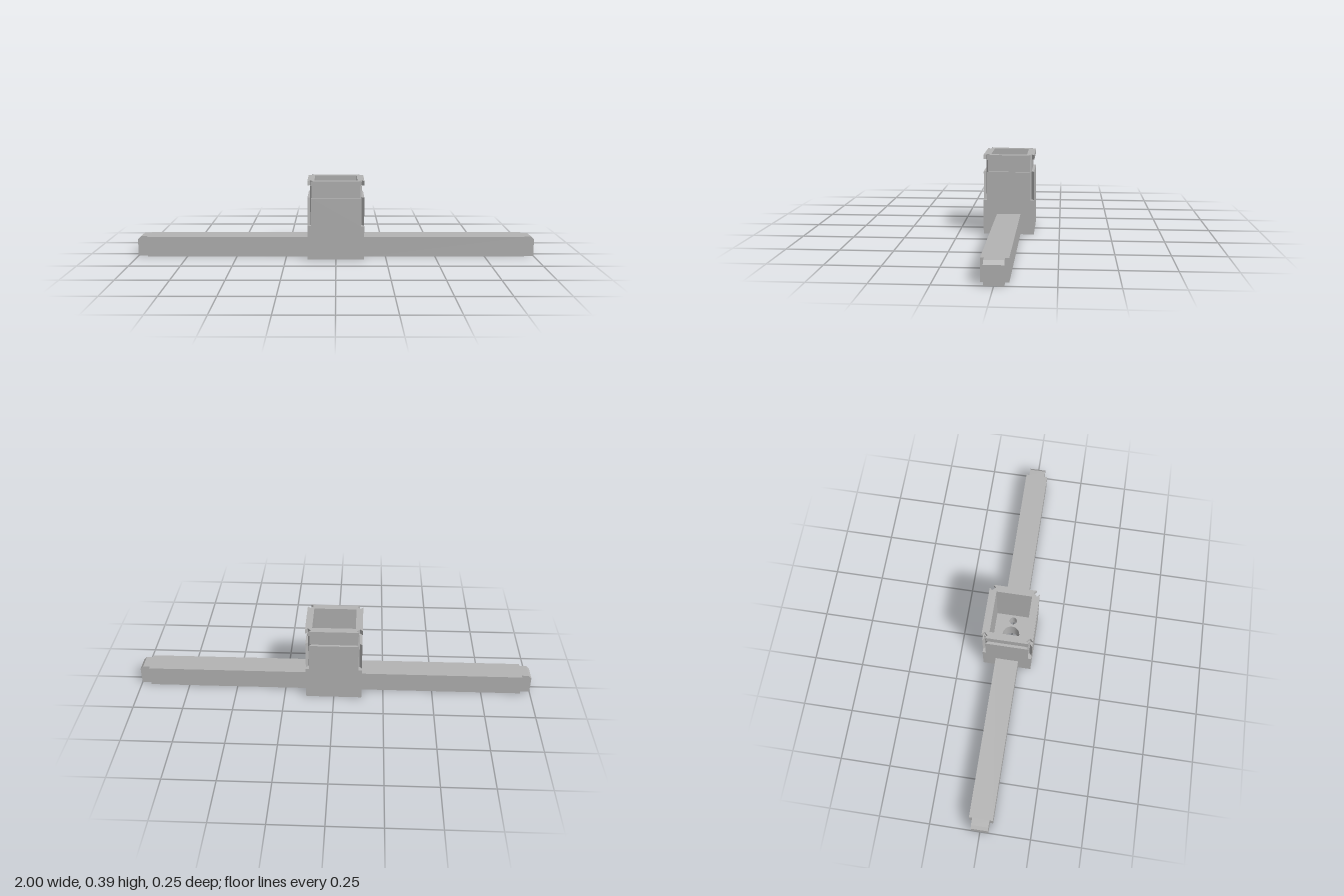
import * as THREE from 'three';

const HX = 0.14, HZ = 0.124;      // housing half width and half depth
const NX = 0.127, NZ = 0.111;     // neck half width and half depth

// Mirrors one corner's points around all four corners of a closed outline
function outline(corner) {
  const back = [...corner].reverse();
  return new THREE.Shape([
    ...corner.map(([x, z]) => new THREE.Vector2(x, z)),
    ...back.map(([x, z]) => new THREE.Vector2(-x, z)),
    ...corner.map(([x, z]) => new THREE.Vector2(-x, -z)),
    ...back.map(([x, z]) => new THREE.Vector2(x, -z)),
  ]);
}

function round(x, r) {
  return new THREE.Path().absarc(x, 0, r, 0, Math.PI * 2, true);
}

function cavity() {
  const x = 0.106, z = 0.088;
  return new THREE.Path([[x, z], [x, -z], [-x, -z], [-x, z]].map(p => new THREE.Vector2(...p)));
}

// Horizontal slice of the housing between two heights
function layer(name, corner, holes, y0, y1, material) {
  const shape = outline(corner);
  shape.holes.push(...holes);
  const geometry = new THREE.ExtrudeGeometry(shape, { depth: y1 - y0, bevelEnabled: false, curveSegments: 24 });
  geometry.rotateX(-Math.PI / 2);
  const mesh = new THREE.Mesh(geometry, material);
  mesh.name = name;
  mesh.position.y = y0;
  return mesh;
}

export function createModel() {
  const model = new THREE.Group();
  model.name = 'barWithSocket';
  const grey = new THREE.MeshStandardMaterial({ color: 0xb3b3b3 });
  grey.name = 'plain grey';

  const square = [[HX, HZ]];
  // Diagonal slot cut into each corner
  const slotted = [[HX, 0.107], [0.127, 0.094], [0.11, 0.111], [0.123, HZ]];
  const neck = [[NX, NZ - 0.008], [NX - 0.008, NZ]];
  const holes = side => [round(0, 0.043), round(0.075, side), round(-0.075, side)];

  const housing = new THREE.Group();
  housing.name = 'housing';
  housing.add(
    layer('counterboredBase', square, holes(0.03), 0, 0.05, grey),
    layer('socketFloor', square, holes(0.019), 0.05, 0.1, grey),
    layer('lowerWall', square, [cavity()], 0.1, 0.17, grey),
    layer('slottedWall', slotted, [cavity()], 0.17, 0.31, grey),
    layer('neck', neck, [cavity()], 0.31, 0.37, grey),
    layer('rimFlange', slotted, [cavity()], 0.37, 0.393, grey),
  );
  model.add(housing);

  // Tenon side profile with a chamfered top end
  const tenonProfile = new THREE.Shape([[0.95, 0], [1, 0], [1, 0.085], [0.984, 0.101], [0.95, 0.101]]
    .map(p => new THREE.Vector2(...p)));

  for (const side of [1, -1]) {
    const arm = new THREE.Group();
    arm.name = side > 0 ? 'leftArm' : 'rightArm';
    const beam = new THREE.Mesh(new THREE.BoxGeometry(0.95 - HX, 0.101, 0.116), grey);
    beam.name = 'beam';
    beam.position.set((0.95 + HX) / 2, 0.0505, 0);
    const tenon = new THREE.Mesh(
      new THREE.ExtrudeGeometry(tenonProfile, { depth: 0.084, bevelEnabled: false }), grey);
    tenon.name = 'endTenon';
    tenon.position.z = -0.042;
    arm.add(beam, tenon);
    if (side < 0) arm.rotation.y = Math.PI;
    model.add(arm);
  }
  return model;
}
